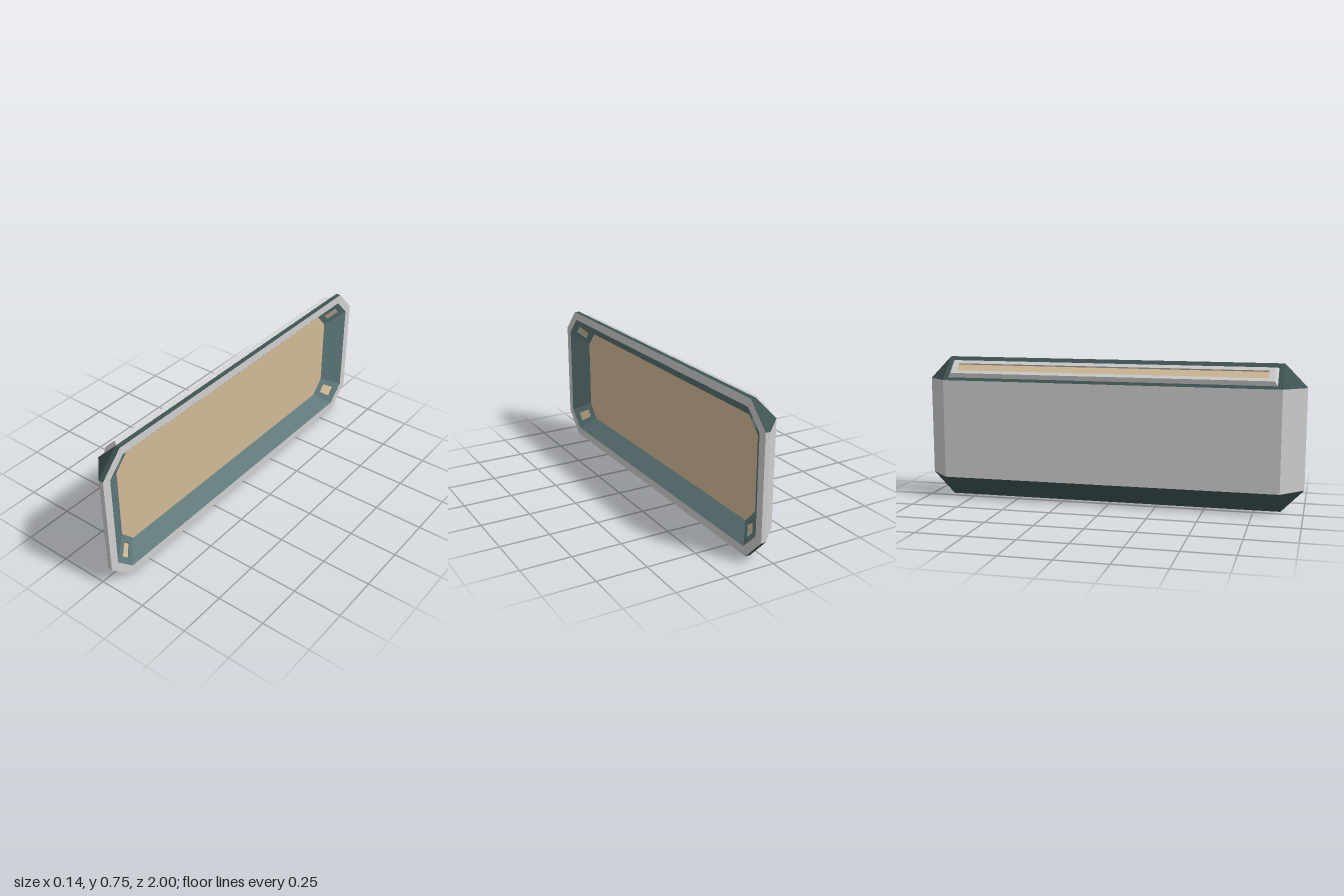
import * as THREE from 'three';

const flat = (name, color) => Object.assign(new THREE.MeshStandardMaterial({ color }), { name });

// Octagonal loop at depth x, counter-clockwise seen from +x
function octagon(x, hz, y0, y1, cz, cy) {
  const a = hz - cz;
  return [
    [x, y0, a], [x, y0, -a], [x, y0 + cy, -hz], [x, y1 - cy, -hz],
    [x, y1, -a], [x, y1, a], [x, y1 - cy, hz], [x, y0 + cy, hz],
  ];
}

// Quads joining two loops, optionally only on some edges
function strip(outer, inner, edges = outer.map((_, i) => i)) {
  return edges.map((i) => {
    const j = (i + 1) % outer.length;
    return [outer[i], outer[j], inner[j], inner[i]];
  });
}

// Flat-shaded mesh from a list of convex polygons
function addFaces(group, name, material, polygons) {
  const pos = [];
  for (const p of polygons) {
    for (let k = 1; k < p.length - 1; k++) pos.push(...p[0], ...p[k], ...p[k + 1]);
  }
  const geo = new THREE.BufferGeometry();
  geo.setAttribute('position', new THREE.Float32BufferAttribute(pos, 3));
  geo.computeVertexNormals();
  const mesh = new THREE.Mesh(geo, material);
  mesh.name = name;
  group.add(mesh);
}

export function createModel() {
  const model = new THREE.Group();
  model.name = 'recessedPanel';
  const grey = flat('light grey', 0xd0cfcf);
  const green = flat('dark green', 0x3f5454);
  const teal = flat('slate teal', 0x5f797b);
  const tan = flat('tan', 0xd2ba96);

  // Main loops, from the back to the front and into the recess
  const back = octagon(-0.07, 0.885, 0.115, 0.637, 0, 0);
  const rimBack = octagon(0.045, 1, 0, 0.752, 0.115, 0.117);
  const rimFront = octagon(0.07, 1, 0, 0.752, 0.115, 0.117);
  const mouth = octagon(0.07, 0.957, 0.043, 0.709, 0.09, 0.09);
  const floor = octagon(0, 0.85, 0.118, 0.635, 0.07, 0.075);
  const sides = [2, 6], corners = [1, 3, 5, 7];

  // Outer shell
  addFaces(model, 'backPanel', grey, [[...back].reverse()]);
  addFaces(model, 'endSlopes', grey, strip(back, rimBack, sides));
  addFaces(model, 'rimEdges', grey, strip(rimBack, rimFront, [0, ...sides]));
  addFaces(model, 'longSlopes', green, strip(back, rimBack, [0, 4]));
  addFaces(model, 'cornerSlopes', green, strip(back, rimBack, corners));
  addFaces(model, 'topAndCornerEdges', green, strip(rimBack, rimFront, [4, ...corners]));
  addFaces(model, 'frontRim', grey, strip(rimFront, mouth));

  // Recess
  addFaces(model, 'recessWalls', teal, strip(mouth, floor, [0, 2, 4, 6]));
  addFaces(model, 'recessFloor', tan, [floor]);

  // Corner walls, each with a sunken pad
  const cornerFaces = [], pads = [];
  for (const wall of strip(mouth, floor, corners)) {
    const v = wall.map((p) => new THREE.Vector3(...p));
    const at = (a, b) => v[0].clone().lerp(v[1], a).lerp(v[3].clone().lerp(v[2], a), b);
    const normal = v[1].clone().sub(v[0]).cross(v[3].clone().sub(v[0])).normalize();
    const opening = [at(0.27, 0.24), at(0.73, 0.24), at(0.73, 0.76), at(0.27, 0.76)];
    const rim = opening.map((p) => p.toArray());
    const sunk = opening.map((p) => p.clone().addScaledVector(normal, -0.008).toArray());
    cornerFaces.push(...strip(wall, rim), ...strip(rim, sunk));
    pads.push(sunk);
  }
  addFaces(model, 'recessCorners', teal, cornerFaces);
  addFaces(model, 'cornerPads', tan, pads);

  // Raised strip on the upper slope: s runs up the slope, h is height above it
  const onSlope = (hz, s0, s1, h) =>
    [[-hz, s0], [hz, s0], [hz, s1], [-hz, s1]].map(([z, s]) => [
      -0.07 + (s - h) * Math.SQRT1_2, 0.637 + (s + h) * Math.SQRT1_2, z,
    ]);
  const base = onSlope(0.86, 0.02, 0.135, 0);
  const top = onSlope(0.845, 0.034, 0.122, 0.02);
  const slot = onSlope(0.815, 0.053, 0.101, 0.02);
  const slotFloor = onSlope(0.815, 0.053, 0.101, 0.01);
  addFaces(model, 'topStripFrame', grey, [
    ...strip(base, top), ...strip(top, slot), ...strip(slot, slotFloor),
  ]);
  addFaces(model, 'topStripInlay', tan, [slotFloor]);

  return model;
}
